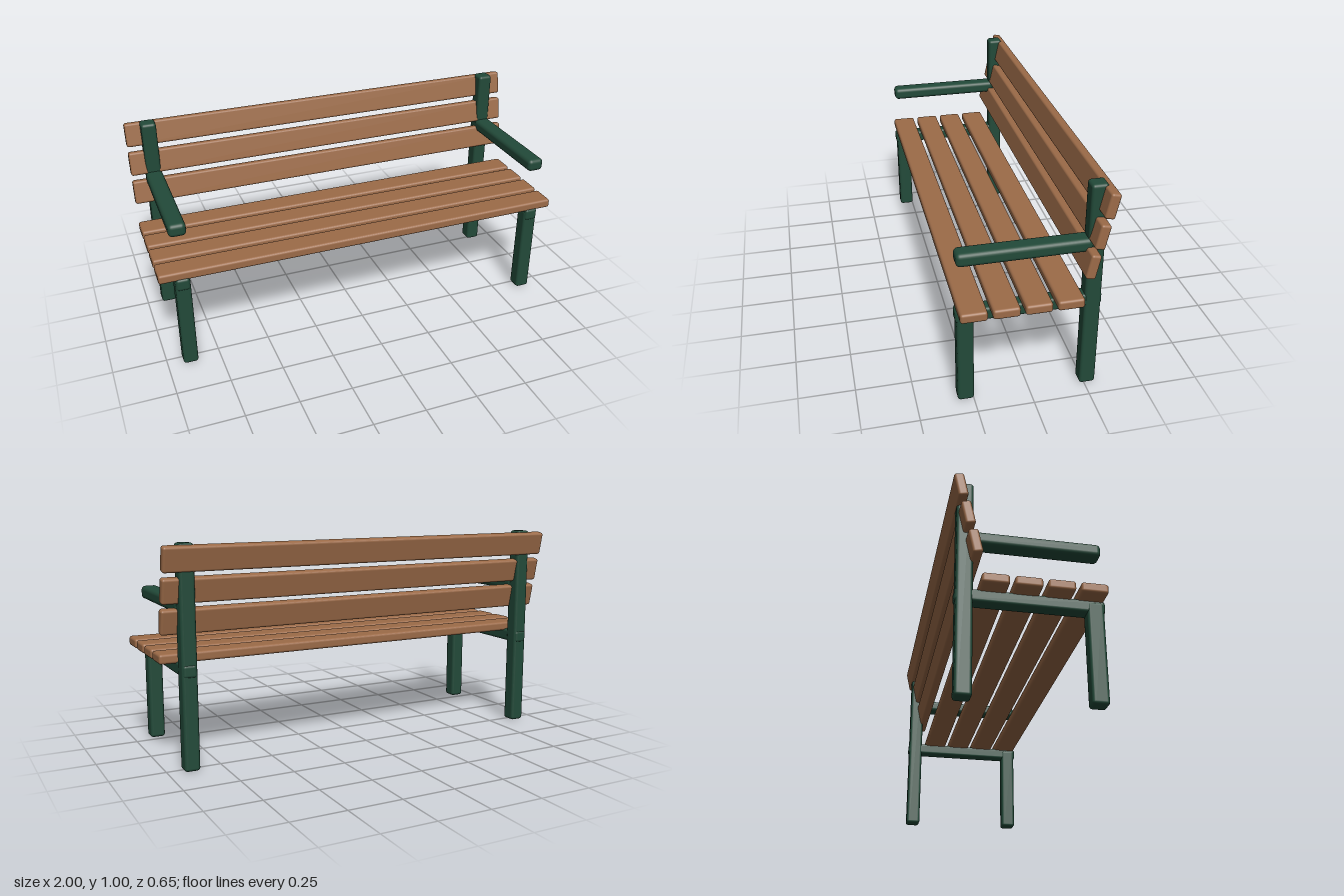
import * as THREE from 'three';
import { RoundedBoxGeometry } from 'three/addons/geometries/RoundedBoxGeometry.js';

export function createModel() {
  const bench = new THREE.Group();
  bench.name = 'bench';
  const wood = new THREE.MeshStandardMaterial({ color: 0x9c6b48 });
  wood.name = 'wood';
  const green = new THREE.MeshStandardMaterial({ color: 0x224a39 });
  green.name = 'greenPaint';

  // Softly rounded beam given by its size and centre
  function beam(name, material, size, centre, radius, parent = bench) {
    const mesh = new THREE.Mesh(new RoundedBoxGeometry(...size, 3, radius), material);
    mesh.name = name;
    mesh.position.set(...centre);
    parent.add(mesh);
    return mesh;
  }

  // End frames: legs, seat rail and armrest on each side
  for (const side of [-1, 1]) {
    const frame = new THREE.Group();
    frame.name = side > 0 ? 'leftFrame' : 'rightFrame';
    frame.position.x = side * 0.893;
    bench.add(frame);
    beam('frontLeg', green, [0.07, 0.46, 0.072], [0, 0.238, 0.286], 0.014, frame);
    beam('backPost', green, [0.07, 1, 0.072], [0, 0.5, -0.264], 0.014, frame);
    beam('seatRail', green, [0.064, 0.06, 0.632], [0, 0.449, 0.012], 0.014, frame);
    beam('armrest', green, [0.08, 0.062, 0.572], [0, 0.724, 0.036], 0.02, frame);
  }

  // Seat slats, front to back
  for (let i = 0; i < 4; i++) {
    beam('seatSlat' + (i + 1), wood, [2, 0.045, 0.115], [0, 0.492, 0.264 - i * 0.137], 0.012);
  }

  // Leaning backrest slats, bottom to top
  for (let i = 0; i < 3; i++) {
    const slat = beam('backSlat' + (i + 1), wood, [2, 0.113, 0.044],
      [0, 0.662 + i * 0.1365, -0.23 - i * 0.0315], 0.011);
    slat.rotation.x = -0.21;
  }
  return bench;
}
